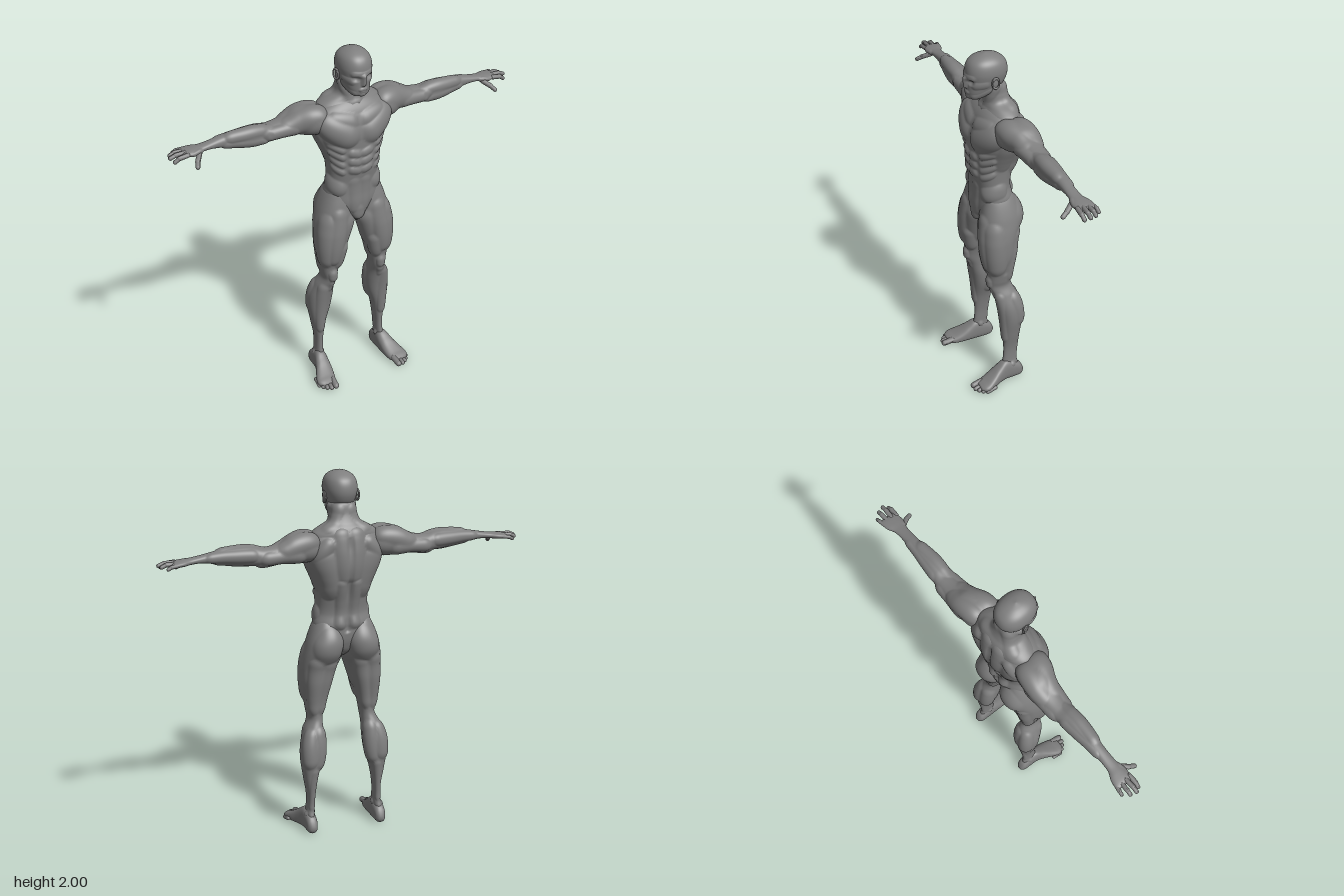
import * as THREE from 'three';

const skin = new THREE.MeshStandardMaterial({ color: 0x7f7f7f });
skin.name = 'grey clay';

// Smooth interpolation of station rows [t, ...values]
function sample(rows, t) {
  let i = 0;
  while (i < rows.length - 2 && t > rows[i + 1][0]) i++;
  const a = rows[i], b = rows[i + 1], p = rows[Math.max(i - 1, 0)], n = rows[Math.min(i + 2, rows.length - 1)];
  const h = b[0] - a[0], s = (t - a[0]) / h, s2 = s * s, s3 = s2 * s;
  return a.slice(1).map((_, j) => {
    const k = j + 1;
    const ma = (b[k] - p[k]) / (b[0] - p[0]) * h, mb = (n[k] - a[k]) / (n[0] - a[0]) * h;
    return a[k] * (2 * s3 - 3 * s2 + 1) + ma * (s3 - 2 * s2 + s) + b[k] * (3 * s2 - 2 * s3) + mb * (s3 - s2);
  });
}

// Height of the muscle relief; each muscle is [from, to, radius, height]
function relief(p, muscles) {
  let up = 0, down = 0;
  const a = new THREE.Vector3(), b = new THREE.Vector3(), q = new THREE.Vector3();
  for (const [from, to, r, h] of muscles) {
    a.fromArray(from); b.fromArray(to).sub(a);
    q.set(Math.abs(p.x), p.y, p.z).sub(a);
    const l = b.lengthSq(), t = l ? THREE.MathUtils.clamp(q.dot(b) / l, 0, 1) : 0;
    const d = q.addScaledVector(b, -t).lengthSq() / (r * r);
    if (d >= 1) continue;
    if (h > 0) up = Math.max(up, h * (1 - d));
    else down += h * (1 - d) * (1 - d);
  }
  return up + down;
}

// Closed loft along an axis; rows are [t, uMin, uMax, vMin, vMax]
function loft(rows, axis, { rings = 60, segs = 48, n = 2.2, inset = 0, muscles = [] } = {}) {
  const [ui, vi] = [[1, 2], [0, 2], [0, 1]][axis];
  const pos = [], idx = [], t0 = rows[0][0], t1 = rows[rows.length - 1][0];
  const put = (t, u, v) => {
    const p = [0, 0, 0];
    p[axis] = t; p[ui] = u; p[vi] = v;
    pos.push(...p);
  };
  const pw = c => Math.sign(c) * Math.abs(c) ** (2 / n);
  for (let i = 0; i <= rings; i++) {
    const t = t0 + (t1 - t0) * i / rings;
    const [u0, u1, v0, v1] = sample(rows, t);
    const ru = Math.max((u1 - u0) / 2 - inset, 0.001), rv = Math.max((v1 - v0) / 2 - inset, 0.001);
    for (let j = 0; j < segs; j++) {
      const w = j / segs * Math.PI * 2;
      put(t, (u0 + u1) / 2 + ru * pw(Math.cos(w)), (v0 + v1) / 2 + rv * pw(Math.sin(w)));
      if (i === rings) continue;
      const a = i * segs + j, b = i * segs + (j + 1) % segs;
      idx.push(a, b, a + segs, b, b + segs, a + segs);
    }
  }
  const first = pos.length / 3;
  for (const r of [rows[0], rows[rows.length - 1]]) put(r[0], (r[1] + r[2]) / 2, (r[3] + r[4]) / 2);
  for (let j = 0; j < segs; j++) {
    const k = (j + 1) % segs, e = rings * segs;
    idx.push(first, k, j, first + 1, e + j, e + k);
  }
  const g = new THREE.BufferGeometry();
  g.setAttribute('position', new THREE.Float32BufferAttribute(pos, 3));
  g.setIndex(idx);
  if (axis === 1) flip(g);
  g.computeVertexNormals();
  if (muscles.length) {
    const P = g.attributes.position, N = g.attributes.normal, p = new THREE.Vector3(), m = new THREE.Vector3();
    for (let i = 0; i < P.count; i++) {
      p.fromBufferAttribute(P, i);
      m.fromBufferAttribute(N, i);
      p.addScaledVector(m, relief(p, muscles));
      P.setXYZ(i, p.x, p.y, p.z);
    }
    g.computeVertexNormals();
  }
  return g;
}

function flip(g) {
  const a = g.index.array;
  for (let i = 0; i < a.length; i += 3) [a[i], a[i + 1]] = [a[i + 1], a[i]];
}

// Rounded bone between two points
function bone(a, b, r) {
  const A = new THREE.Vector3(...a), d = new THREE.Vector3(...b).sub(A), len = d.length();
  const g = new THREE.CapsuleGeometry(r, len, 5, 12);
  g.applyQuaternion(new THREE.Quaternion().setFromUnitVectors(new THREE.Vector3(0, 1, 0), d.normalize()));
  return g.translate(...A.addScaledVector(d, len / 2).toArray());
}

function ball(c, s) {
  return new THREE.SphereGeometry(1, 20, 14).scale(...s).translate(...c);
}

export function createModel() {
  const model = new THREE.Group();
  model.name = 'muscular figure';
  const add = (name, g) => {
    const m = new THREE.Mesh(g, skin);
    m.name = name;
    model.add(m);
  };
  const pair = (name, g) => {
    add('left' + name, g);
    const r = g.clone().scale(-1, 1, 1);
    flip(r);
    r.computeVertexNormals();
    add('right' + name, r);
  };
  // Symmetric rows [y, halfWidth, back, front]
  const sym = rows => rows.map(([y, w, b, f]) => [y, -w, w, b, f]);

  // Torso with chest, abdomen and back muscles
  const torsoMuscles = [
    [[.08, 1.55, .09], [.19, 1.61, .05], .078, .026], [[.05, 1.62, .08], [.14, 1.64, .06], .05, .016],
    [[.035, 1.25, .085], [.025, 1.09, .08], .036, .008],
    [[.14, 1.25, -.02], [.115, 1.225, .05], .045, .013], [[0, 1.04, .07], [0, 1.08, .075], .04, .01],
    [[.04, 1.7, -.15], [.025, 1.46, -.175], .05, .014], [[.04, 1.42, -.15], [.04, 1.2, -.13], .036, .016],
    [[.15, 1.55, -.14], [.11, 1.4, -.13], .075, .016], [[.12, 1.64, -.17], [.18, 1.56, -.15], .045, .02],
    [[.19, 1.54, -.05], [.165, 1.42, -.04], .06, .012],
    [[0, 1.66, -.17], [0, 1.16, -.13], .02, -.012], [[0, 1.235, .085], [0, 1.235, .085], .012, -.008],
    [[.165, 1.2, .05], [.06, 1.04, .08], .022, -.008],
  ];
  for (const y of [1.43, 1.38, 1.33]) torsoMuscles.push([[.02, y, .09], [.05, y + .008, .085], .027, .011]);
  for (let i = 0; i < 4; i++) {
    torsoMuscles.push([[.105, 1.46 - i * .045, .07], [.15, 1.49 - i * .045, .02], .022, .01]);
  }
  add('torso', loft(sym([
    [.995, .015, -.05, .045], [1.03, .05, -.1, .07], [1.08, .11, -.125, .077], [1.13, .155, -.135, .08],
    [1.19, .166, -.135, .078], [1.25, .15, -.125, .08], [1.32, .148, -.135, .09], [1.4, .155, -.155, .093],
    [1.46, .178, -.168, .093], [1.52, .205, -.176, .093], [1.58, .22, -.176, .085], [1.63, .22, -.17, .07],
    [1.67, .195, -.162, .053], [1.7, .15, -.15, .03], [1.725, .08, -.12, 0],
  ]), 1, { rings: 135, segs: 132, n: 2.4, inset: .006, muscles: torsoMuscles }));

  // Neck flowing into the shoulders
  add('neck', loft(sym([
    [1.64, .2, -.155, .03], [1.69, .175, -.155, .025], [1.715, .14, -.145, .014], [1.74, .09, -.127, .012],
    [1.78, .074, -.11, .022], [1.83, .07, -.1, .035], [1.86, .05, -.08, .04],
  ]), 1, { rings: 50, segs: 64, muscles: [
    [[.07, 1.82, -.03], [.015, 1.7, .02], .024, .008], [[.05, 1.8, -.1], [.1, 1.72, -.11], .04, .008],
  ] }));

  // Head with facial relief
  add('head', loft(sym([
    [1.762, .02, .04, .085], [1.772, .042, .01, .099], [1.8, .062, -.045, .104], [1.83, .073, -.088, .105],
    [1.87, .083, -.111, .105], [1.91, .088, -.116, .107], [1.95, .081, -.106, .097], [1.975, .064, -.082, .076],
    [1.992, .035, -.045, .04], [2, .004, -.006, .004],
  ]), 1, { rings: 84, segs: 80, muscles: [
    [[0, 1.885, .106], [.05, 1.89, .095], .02, .006], [[.034, 1.866, .1], [.04, 1.866, .095], .022, -.011],
    [[0, 1.88, .108], [0, 1.835, .112], .016, .02], [[0, 1.806, .105], [.014, 1.804, .103], .012, .006],
    [[0, 1.795, .105], [.01, 1.794, .103], .01, .005], [[0, 1.775, .1], [0, 1.775, .1], .022, .005],
    [[.055, 1.85, .08], [.075, 1.855, .03], .022, .005], [[.035, 1.78, .07], [.066, 1.805, 0], .025, .005],
  ] }));
  pair('Ear', ball([.086, 1.862, -.015], [.009, .033, .019]).rotateX(0));
  pair('EarRim', new THREE.TorusGeometry(.02, .005, 8, 20).scale(.85, 1.4, 1).rotateY(1.3).translate(.093, 1.864, -.018));

  // Arms, from inside the chest to the palm
  pair('Arm', loft([
    [.12, 1.57, 1.66, -.12, .01], [.18, 1.54, 1.695, -.155, .04], [.24, 1.535, 1.708, -.165, .03],
    [.3, 1.545, 1.698, -.165, -.005], [.36, 1.55, 1.662, -.155, -.02], [.45, 1.54, 1.645, -.147, -.03],
    [.5, 1.545, 1.655, -.14, -.028], [.55, 1.547, 1.66, -.135, -.026], [.6, 1.555, 1.658, -.13, -.03],
    [.66, 1.567, 1.653, -.123, -.04], [.72, 1.575, 1.643, -.119, -.046], [.78, 1.582, 1.631, -.118, -.048],
    [.83, 1.58, 1.623, -.122, -.046], [.87, 1.576, 1.62, -.14, -.038], [.91, 1.578, 1.615, -.146, -.037],
    [.928, 1.585, 1.608, -.14, -.045],
  ], 0, { rings: 130, segs: 60, n: 2.2, inset: .005, muscles: [
    [[.19, 1.67, -.02], [.34, 1.61, -.05], .06, .014], [[.19, 1.68, -.12], [.33, 1.62, -.12], .055, .014],
    [[.33, 1.6, -.03], [.46, 1.6, -.03], .042, .015], [[.28, 1.57, -.15], [.43, 1.58, -.145], .045, .013],
    [[.34, 1.55, -.09], [.46, 1.545, -.1], .035, .009], [[.47, 1.645, -.05], [.66, 1.635, -.06], .04, .01],
    [[.5, 1.56, -.05], [.68, 1.58, -.07], .038, .01], [[.52, 1.61, -.13], [.72, 1.61, -.12], .035, .009],
    [[.84, 1.59, -.05], [.87, 1.58, -.045], .026, .008], [[.47, 1.6, -.03], [.48, 1.59, -.03], .03, -.007],
  ] }));

  // Fingers: [base, knuckle, tip, radius]
  const fingers = [
    [[.905, 1.597, -.05], [.95, 1.592, -.048], [.973, 1.576, -.05], .0125],
    [[.91, 1.6, -.077], [.96, 1.6, -.074], [.988, 1.59, -.074], .0125],
    [[.91, 1.598, -.104], [.955, 1.599, -.106], [.979, 1.588, -.106], .012],
    [[.9, 1.595, -.13], [.935, 1.592, -.136], [.953, 1.582, -.137], .0105],
    [[.84, 1.588, -.055], [.868, 1.568, -.015], [.88, 1.553, .012], .0135],
  ];
  fingers.forEach(([a, b, c, r], i) => {
    const name = i === 4 ? 'Thumb' : 'Finger' + (i + 1);
    pair(name + 'Base', bone(a, b, r));
    pair(name + 'Tip', bone(b, c, r * .88));
  });

  // Legs with buttocks, thigh, knee and calf muscles
  pair('Leg', loft([
    [.05, .18, .228, -.11, -.03], [.09, .172, .23, -.118, -.008], [.14, .171, .222, -.106, -.016],
    [.22, .168, .222, -.111, -.02], [.33, .15, .24, -.126, -.01], [.435, .118, .255, -.14, 0],
    [.515, .108, .25, -.135, .012], [.595, .11, .222, -.112, .03], [.65, .108, .197, -.088, .052],
    [.69, .102, .203, -.085, .056], [.74, .09, .212, -.088, .06], [.785, .077, .221, -.095, .074],
    [.865, .052, .231, -.11, .087], [.945, .025, .231, -.12, .09], [1, .004, .224, -.138, .086],
    [1.05, .002, .213, -.153, .08], [1.1, .004, .2, -.154, .074], [1.16, .015, .178, -.135, .062],
    [1.2, .035, .158, -.115, .05], [1.23, .06, .135, -.09, .02],
  ], 1, { rings: 150, segs: 76, n: 2.25, inset: .005, muscles: [
    [[.08, 1.1, -.15], [.1, 1.07, -.14], .095, .018], [[.185, 1.02, .04], [.2, .8, .03], .06, .012],
    [[.12, 1.06, .08], [.15, .8, .085], .05, .012], [[.1, .85, .05], [.105, .76, .045], .045, .016],
    [[.04, 1, .03], [.07, .85, 0], .06, .009], [[.17, .97, -.11], [.185, .72, -.08], .045, .011],
    [[.08, .95, -.11], [.115, .72, -.08], .045, .011], [[.15, .69, .06], [.15, .67, .06], .034, .014],
    [[.15, .62, .04], [.155, .58, .03], .022, .007], [[.215, .57, -.1], [.215, .43, -.115], .045, .012],
    [[.14, .57, -.09], [.145, .41, -.1], .045, .013], [[.2, .58, .01], [.2, .3, -.01], .036, .009],
    [[.18, .36, -.12], [.195, .15, -.105], .025, .006],
    [[.17, .11, -.055], [.17, .11, -.055], .022, .01], [[.228, .1, -.07], [.228, .1, -.07], .022, .01],
    [[.2, .9, -.05], [.21, .75, -.03], .02, -.006],
  ] }));

  // Feet and toes
  pair('Foot', loft([
    [-.142, .188, .215, .022, .05], [-.125, .174, .23, .005, .085], [-.08, .169, .235, 0, .115],
    [-.03, .167, .24, 0, .132], [.02, .167, .257, 0, .103], [.06, .17, .276, 0, .076],
    [.1, .178, .291, 0, .054], [.125, .188, .288, .004, .044], [.145, .2, .268, .01, .034],
  ], 2, { rings: 40, segs: 40, n: 2.5 }));
  [[.206, .168, .017], [.234, .168, .0125], [.255, .155, .012], [.272, .138, .0115], [.286, .116, .011]].forEach(([x, z, r], i) => {
    pair('Toe' + (i + 1), bone([x - .004, r + .012, z - .05], [x, r + .001, z], r));
  });
  return model;
}
